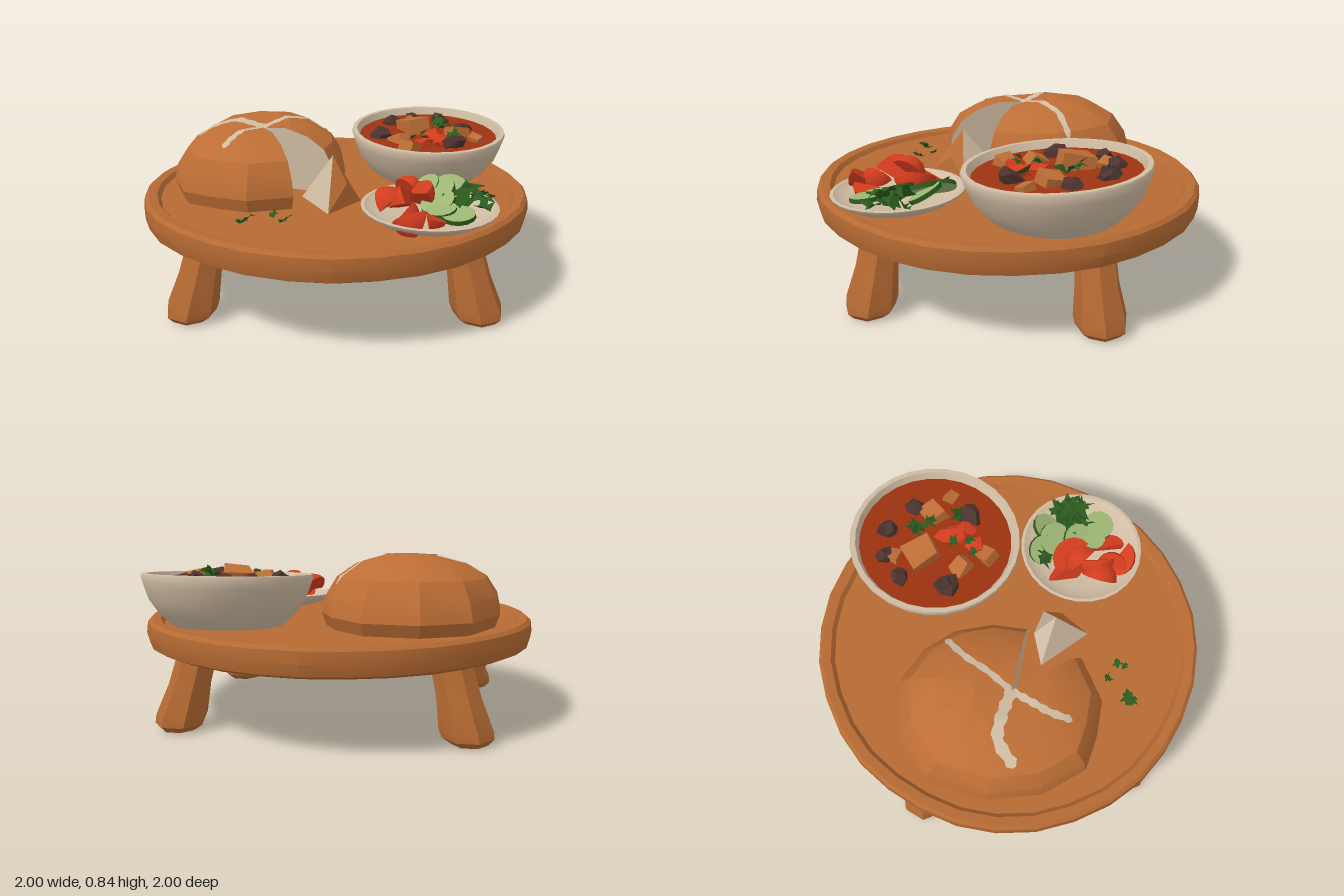
import * as THREE from 'three';
import { mergeGeometries, toCreasedNormals } from 'three/addons/utils/BufferGeometryUtils.js';
import { ConvexGeometry } from 'three/addons/geometries/ConvexGeometry.js';

const mat = (name, color) => {
  const m = new THREE.MeshStandardMaterial({ color, side: THREE.DoubleSide });
  m.name = name;
  return m;
};
const V = (x, y, z) => new THREE.Vector3(x, y, z);

export function createModel() {
  const wood = mat('wood', 0xb66a33), crust = mat('crust', 0xbd6e35), cream = mat('cream', 0xd0bca3);
  const broth = mat('broth', 0x9c3210), red = mat('tomato red', 0xd23c1e), dark = mat('dark meat', 0x4b332e);
  const green = mat('herb green', 0x2b5a1e), pale = mat('cucumber green', 0x9db573);

  const model = new THREE.Group();
  const add = (parent, name, geo, material, crease = 0.5) => {
    const mesh = new THREE.Mesh(crease ? toCreasedNormals(geo, crease) : geo, material);
    mesh.name = name;
    parent.add(mesh);
    return mesh;
  };
  // Moves every vertex by a rule
  const warp = (geo, rule) => {
    const p = geo.attributes.position, v = V();
    for (let i = 0; i < p.count; i++) {
      rule(v.fromBufferAttribute(p, i));
      p.setXYZ(i, v.x, v.y, v.z);
    }
    geo.computeVertexNormals();
    return geo;
  };
  const lathe = (pts, n) => new THREE.LatheGeometry(pts.map(([r, y]) => new THREE.Vector2(r, y)), n);
  const triangles = (list) => new THREE.BufferGeometry().setFromPoints(list);
  // Joins rows of points with quads, flat shaded by nature
  const loft = (rows) => {
    const out = [];
    for (let j = 0; j < rows.length - 1; j++)
      for (let i = 0; i < rows[j].length - 1; i++) {
        const a = rows[j][i], b = rows[j][i + 1], c = rows[j + 1][i + 1], d = rows[j + 1][i];
        out.push(a, d, c, a, c, b);
      }
    const g = triangles(out);
    g.computeVertexNormals();
    return g;
  };

  // Round table with a hand-hewn raised rim
  const table = lathe([[0, 0.37], [0.955, 0.37], [0.985, 0.385], [1, 0.44], [0.993, 0.495], [0.975, 0.512],
    [0.93, 0.508], [0.912, 0.485], [0, 0.485]], 32);
  add(model, 'tableTop', warp(table, (v) => {
    const a = Math.atan2(v.z, v.x);
    const k = 1 - 0.009 * (1 - Math.sin(5 * a + 1) * Math.sin(3 * a)) * Math.abs(Math.sin(2 * a));
    v.x *= k; v.z *= k;
  }), wood, 0.45);

  // Splayed legs, wider at the foot
  for (const sx of [-1, 1]) for (const sz of [-1, 1]) {
    const leg = lathe([[0, 0], [0.085, 0], [0.122, 0.03], [0.128, 0.07], [0.105, 0.22], [0.1, 0.4]], 7);
    add(model, 'leg', warp(leg, (v) => {
      v.x += sx * (0.7 - 0.25 * v.y);
      v.z += sz * (0.555 - 0.14 * v.y);
    }), wood, 0.6);
  }
  add(model, 'legBrace', new ConvexGeometry([V(-0.82, 0.38, -0.25), V(-0.7, 0.38, -0.45), V(-0.72, 0.27, -0.45),
    V(-0.66, 0.38, -0.3)]), wood);

  // Round loaf with one wedge cut away
  const outline = [[-0.2, 0.36], [-0.42, 0.42], [-0.6, 0.36], [-0.75, 0.28], [-0.84, 0.05], [-0.83, -0.22], [-0.7, -0.5],
    [-0.47, -0.62], [-0.2, -0.6], [-0.04, -0.45], [0.04, -0.28], [0.05, -0.08], [0, 0.1]];
  const profile = [[0.95, 0.48], [1, 0.55], [0.96, 0.63], [0.84, 0.715], [0.62, 0.775], [0.32, 0.81], [0, 0.8]];
  const cx = -0.38, cz = -0.03;
  const rows = profile.map(([t, y]) => outline.map(([x, z]) =>
    V(cx + (x - cx) * t, y + 0.06 * t * (1 - t) * 4 * Math.max(0, -(z - cz)) * 1.1, cz + (z - cz) * t)));
  const bread = new THREE.Group();
  bread.name = 'bread';
  model.add(bread);
  const dome = add(bread, 'loafCrust', loft(rows), crust, 0.4);
  for (const i of [0, outline.length - 1]) {
    const fan = [], foot = V(cx, 0.48, cz);
    for (let j = 0; j < rows.length - 1; j++)
      fan.push(...(i ? [foot, rows[j + 1][i], rows[j][i]] : [foot, rows[j][i], rows[j + 1][i]]));
    add(bread, 'cutFace', triangles(fan), cream);
  }

  // Scored cream lines laid on the crust
  const ray = new THREE.Raycaster();
  dome.updateMatrixWorld(true);
  const onDome = (x, z) => {
    ray.set(V(x, 2, z), V(0, -1, 0));
    const hit = ray.intersectObject(dome)[0];
    return V(x, (hit ? hit.point.y : 0.79) + 0.006, z);
  };
  const scores = [
    [0.027, [[-0.38, -0.035], [-0.48, -0.09], [-0.6, -0.13], [-0.73, -0.07]]],
    [0.018, [[-0.38, -0.035], [-0.44, 0.04], [-0.5, 0.12], [-0.55, 0.23]]],
    [0.016, [[-0.38, -0.035], [-0.28, -0.13], [-0.17, -0.24], [-0.04, -0.32]]],
  ];
  for (const [w, pts] of scores) {
    const curve = new THREE.CatmullRomCurve3(pts.map(([x, z]) => V(x, 0, z)));
    const lines = [[], [], []];
    for (let i = 0; i <= 18; i++) {
      const p = curve.getPoint(i / 18), d = curve.getTangent(i / 18);
      const half = w * (i === 18 ? 0.3 : 1) * (1 + 0.2 * Math.sin(i * 1.9));
      [-1, 0, 1].forEach((s, k) => lines[k].push(onDome(p.x - d.z * half * s, p.z + d.x * half * s)));
    }
    add(bread, 'scoreLine', loft(lines), cream);
  }

  // Loose slice: crust outside, crumb on the cut sides
  const A = V(-0.17, 0.485, 0.15), B = V(-0.03, 0.6, 0.13), C = V(0.13, 0.485, 0.21), D = V(-0.03, 0.485, 0.42);
  const P = V(-0.01, 0.73, 0.24), M = V(0.06, 0.6, 0.29);
  add(bread, 'sliceCrumb', triangles([A, D, P, A, P, B, B, P, C, A, B, C]), cream);
  add(bread, 'sliceCrust', triangles([D, M, P, D, C, M, C, P, M]), crust);

  // Irregular lump of food
  const jitter = (geo, seed, k) => warp(geo, (v) => {
    const h = Math.sin(Math.round(v.x * 50) * 12.9 + Math.round(v.y * 50) * 7.3 + Math.round(v.z * 50) * 3.7 + seed * 5.1);
    v.multiplyScalar(1 + k * h);
  });
  const lump = (parent, name, material, base, [x, y, z], [a, b, c], seed) => {
    const geo = base === 'cube' ? new THREE.BoxGeometry(1.6, 1.6, 1.6) : new THREE.DodecahedronGeometry(1);
    const m = add(parent, name, jitter(geo, seed, 0.2), material, 0.2);
    m.scale.set(a, b, c);
    m.position.set(x, y, z);
    m.rotation.set(Math.sin(seed) * 0.4, seed * 1.7, Math.cos(seed * 2) * 0.4);
  };
  // Jagged, slightly crumpled leaf
  const leaf = (parent, x, y, z, r, seed) => {
    const pts = [];
    for (let i = 0; i < 14; i++) {
      const a = i / 14 * Math.PI * 2, q = r * (i % 2 ? 0.55 : 1) * (1 + 0.25 * Math.sin(seed * 3 + i * 2));
      pts.push(new THREE.Vector2(q * Math.cos(a), q * Math.sin(a) * 0.8));
    }
    const geo = new THREE.ShapeGeometry(new THREE.Shape(pts)).rotateX(-Math.PI / 2);
    const m = add(parent, 'herbLeaf', warp(geo, (v) => { v.y += r * 0.3 * Math.sin(v.x / r * 3 + v.z / r * 2 + seed); }), green, 0.2);
    m.position.set(x, y, z);
    m.rotation.set(0.3 * Math.sin(seed * 2), seed, 0.3 * Math.cos(seed));
  };

  // Stew bowl, tipped slightly forward
  const stew = new THREE.Group();
  stew.name = 'stewBowl';
  stew.position.set(0.51, 0.5, -0.325);
  stew.rotation.x = 0.07;
  stew.scale.z = 1.045;
  model.add(stew);
  add(stew, 'bowl', lathe([[0, -0.02], [0.27, -0.02], [0.335, 0.04], [0.385, 0.11], [0.41, 0.18], [0.423, 0.225], [0.418, 0.238],
    [0.395, 0.238], [0.385, 0.215], [0.36, 0.15]], 28), cream, 0.7);
  add(stew, 'broth', new THREE.CircleGeometry(0.384, 28).rotateX(-Math.PI / 2).translate(0, 0.2, 0), broth);
  [[0.32, -0.52, 0.05], [0.6, -0.55, 0.058], [0.25, -0.3, 0.065], [0.72, -0.41, 0.05], [0.63, -0.14, 0.065], [0.45, -0.58, 0.05]]
    .forEach(([x, z, r], i) => lump(stew, 'darkChunk', dark, 'round', [x - 0.51, 0.205, z + 0.325], [r, r * 0.8, r], i + 1));
  [[0.44, -0.39, 0.085], [0.67, -0.32, 0.06], [0.35, -0.21, 0.055], [0.4, -0.085, 0.06], [0.76, -0.22, 0.045], [0.45, -0.55, 0.045]]
    .forEach(([x, z, r], i) => lump(stew, 'meatChunk', crust, 'cube', [x - 0.51, i ? 0.205 : 0.22, z + 0.325], [r, r * 0.7, r * 0.9], i + 3));
  [[0.53, -0.24, 0.05, 0.085], [0.46, -0.13, 0.045, 0.05], [0.56, -0.16, 0.04, 0.05]]
    .forEach(([x, z, a, c], i) => lump(stew, 'pepperChunk', red, 'round', [x - 0.51, 0.21, z + 0.325], [a, 0.04, c], i * 3.7));
  [[0.58, -0.42, 0.06], [0.6, -0.35, 0.05], [0.48, -0.24, 0.035], [0.63, -0.2, 0.05], [0.48, -0.16, 0.035], [0.41, -0.15, 0.03]]
    .forEach(([x, z, r], i) => leaf(stew, x - 0.51, 0.245, z + 0.325, r, i + 1));

  // Salad plate
  const salad = new THREE.Group();
  salad.name = 'saladPlate';
  salad.position.set(0.45, 0.485, 0.46);
  salad.rotation.x = 0.03;
  model.add(salad);
  add(salad, 'plate', lathe([[0, 0], [0.2, 0], [0.27, 0.02], [0.322, 0.055], [0.326, 0.066], [0.31, 0.068], [0.295, 0.056],
    [0.24, 0.035], [0, 0.03]], 28), cream, 0.7);

  // Tomato wedges: a slice of a ball closed by two half discs
  const tomato = (x, y, z, r, seed) => {
    const open = 1.3, disc = () => new THREE.CircleGeometry(r, 8, Math.PI / 2, Math.PI);
    const geo = mergeGeometries([new THREE.SphereGeometry(r, 4, 8, 0, open), disc(), disc().rotateY(open)]);
    const m = add(salad, 'tomatoWedge', geo, red, 0.5);
    m.position.set(x - 0.45, y, z - 0.46);
    m.rotation.set(1.2 + 0.5 * Math.sin(seed * 2), seed * 1.3, 0.7 * Math.cos(seed * 3));
  };
  [[0.3, 0.1, 0.34, 0.1], [0.37, 0.1, 0.4, 0.11], [0.25, 0.08, 0.52, 0.095], [0.35, 0.09, 0.52, 0.1], [0.36, 0.07, 0.64, 0.1],
    [0.43, 0.07, 0.6, 0.09], [0.31, 0.07, 0.6, 0.08], [0.35, 0.11, 0.44, 0.09]]
    .forEach(([x, y, z, r], i) => tomato(x, y, z, r, i + 1));

  // Cucumber slices with dark skin and pale faces
  [[0.57, 0.06, 0.58, 0.08, 0.1, 0.1], [0.5, 0.09, 0.32, 0.09, 0.3, 0.4], [0.57, 0.09, 0.29, 0.085, 0.5, 0],
    [0.45, 0.08, 0.25, 0.08, 0.3, 0.6], [0.49, 0.075, 0.45, 0.085, 0.3, 0.4], [0.5, 0.065, 0.53, 0.07, 0.1, 0.2]]
    .forEach(([x, y, z, r, rx, rz]) => {
      const m = add(salad, 'cucumberSlice', new THREE.CylinderGeometry(r, r, 0.022, 14), [green, pale, pale], 0);
      m.position.set(x - 0.45, y, z - 0.46);
      m.rotation.set(rx, 0, rz);
    });

  // Herbs on the plate
  [[0.62, 0.1, 0.4, 0.1], [0.7, 0.09, 0.43, 0.08], [0.65, 0.11, 0.47, 0.08], [0.6, 0.09, 0.48, 0.07], [0.69, 0.08, 0.36, 0.06],
    [0.4, 0.08, 0.25, 0.06], [0.55, 0.1, 0.4, 0.06], [0.63, 0.12, 0.43, 0.07], [0.7, 0.08, 0.5, 0.06]]
    .forEach(([x, y, z, r], i) => leaf(salad, x - 0.45, y, z - 0.46, r, i * 1.3 + 0.5));

  // Scattered herbs on the table
  [[-0.41, 0.56, 0.05], [-0.43, 0.58, 0.035], [-0.29, 0.48, 0.03], [-0.22, 0.54, 0.03], [-0.24, 0.575, 0.025]]
    .forEach(([x, z, r], i) => leaf(model, x, 0.51, z, r, i * 2.1));

  return model;
}
